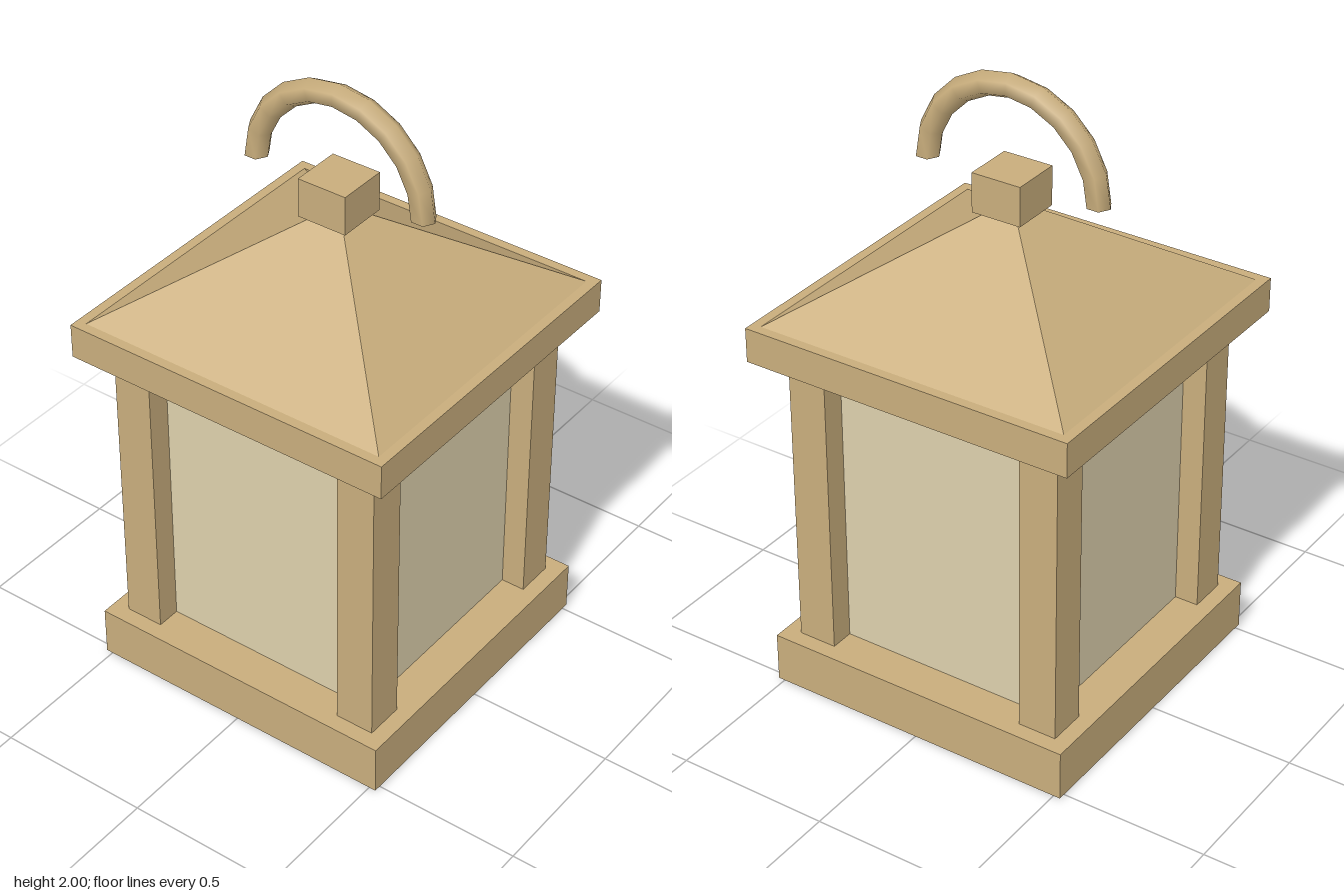
import * as THREE from 'three';

export function createModel() {
  const model = new THREE.Group();
  model.name = 'lantern';
  const wood = new THREE.MeshStandardMaterial({ color: 0xc8ad7c });
  const pane = new THREE.MeshStandardMaterial({ color: 0xddd0ac });
  const roofWood = new THREE.MeshStandardMaterial({ color: 0xc8ad7c, flatShading: true });
  const hookWood = new THREE.MeshStandardMaterial({ color: 0xc8ad7c, side: THREE.DoubleSide });

  const add = (name, geometry, material) => {
    const mesh = new THREE.Mesh(geometry, material);
    mesh.name = name;
    model.add(mesh);
    return mesh;
  };

  // Square block of a given width between two heights
  const block = (name, width, y0, y1, material = wood, x = 0, z = 0) =>
    add(name, new THREE.BoxGeometry(width, y1 - y0, width), material)
      .position.set(x, (y0 + y1) / 2, z);

  block('base', 1.045, 0, 0.163);
  block('glass', 0.78, 0.163, 1.15, pane);
  block('eave', 1.108, 1.15, 1.262);
  block('cap', 0.166, 1.573, 1.7);

  // Four corner posts
  for (const x of [-1, 1]) {
    for (const z of [-1, 1]) block('cornerPost', 0.128, 0.163, 1.15, wood, x * 0.405, z * 0.405);
  }

  // Pyramid roof, its tip hidden in the cap
  const roof = new THREE.ConeGeometry(0.522 * Math.SQRT2, 0.34, 4);
  roof.rotateY(Math.PI / 4);
  add('roof', roof, roofWood).position.y = 1.262 + 0.17;

  // Open half-ring hook above the cap
  add('hook', new THREE.TorusGeometry(0.294, 0.039, 6, 10, Math.PI), hookWood).position.y = 1.667;

  return model;
}
